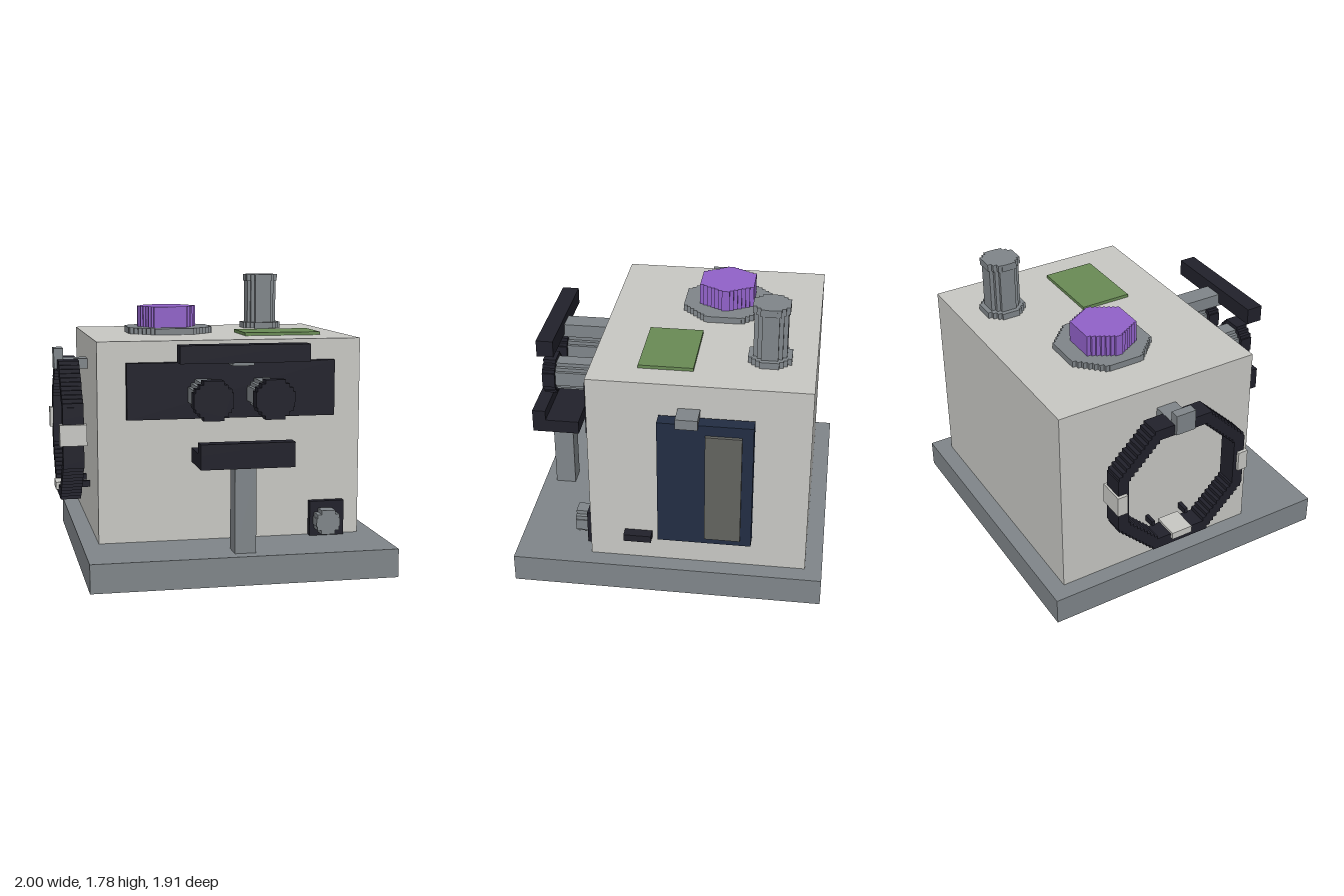
import * as THREE from 'three';

const colour = (name, color) => {
  const m = new THREE.MeshStandardMaterial({ color });
  m.name = name;
  return m;
};

export function createModel() {
  const model = new THREE.Group();
  model.name = 'instrumentCabinet';
  const steel = colour('steelGrey', 0x80868a);
  const shell = colour('paleShell', 0xc8c8c4);
  const dark = colour('darkPlastic', 0x21212b);
  const navy = colour('navyBlue', 0x222d43);
  const slate = colour('slateGlass', 0x62635f);
  const violet = colour('violet', 0x9162c9);
  const green = colour('green', 0x698b55);

  const add = (name, geometry, material) => {
    const mesh = new THREE.Mesh(geometry, material);
    mesh.name = name;
    model.add(mesh);
    return mesh;
  };

  // Box given by its extents on each axis
  const box = (name, material, x0, x1, y0, y1, z0, z1) =>
    add(name, new THREE.BoxGeometry(x1 - x0, y1 - y0, z1 - z0), material)
      .position.set((x0 + x1) / 2, (y0 + y1) / 2, (z0 + z1) / 2);

  // Half-width of a polygon at height v
  const octagon = r => v => Math.min(r, r * Math.SQRT2 - Math.abs(v));
  const hexagon = r => v => r * 2 / Math.sqrt(3) - Math.abs(v) / Math.sqrt(3);

  // Staircase-edged outline: one row of constant width per step
  const steppedPoints = (width, r) => {
    const rows = Math.max(4, Math.round(2 * r / 0.024));
    const h = 2 * r / rows, right = [], left = [];
    for (let i = 0; i < rows; i++) {
      const v = -r + i * h, w = width(v + h / 2);
      for (const y of [v, v + h]) {
        right.push(new THREE.Vector2(w, y));
        left.unshift(new THREE.Vector2(-w, y));
      }
    }
    // Drop repeated points along straight sides
    return [...right, ...left].filter((p, i, a) => i === 0 || p.distanceTo(a[i - 1]) > 1e-6);
  };

  // Stepped prism running from the origin along +z
  const prism = (width, r, depth, holeWidth, holeR) => {
    const shape = new THREE.Shape(steppedPoints(width, r));
    if (holeWidth) shape.holes.push(new THREE.Path(steppedPoints(holeWidth, holeR)));
    return new THREE.ExtrudeGeometry(shape, { depth, bevelEnabled: false });
  };
  const upright = (name, material, width, r, x, z, y0, y1) =>
    add(name, prism(width, r, y1 - y0).rotateX(-Math.PI / 2), material).position.set(x, y0, z);
  const forward = (name, material, r, x, y, z0, z1) =>
    add(name, prism(octagon(r), r, z1 - z0), material).position.set(x, y, z0);

  // Plinth and cabinet
  box('basePlate', steel, -0.89, 0.975, 0, 0.175, -0.955, 0.955);
  box('cabinet', shell, -0.785, 0.865, 0.175, 1.415, -0.85, 0.48);

  // Top: violet button on its collar, green pad, chimney
  upright('buttonCollar', steel, octagon(0.275), 0.275, -0.232, -0.247, 1.415, 1.455);
  upright('button', violet, hexagon(0.172), 0.172, -0.242, -0.245, 1.455, 1.59);
  box('greenPad', green, 0.195, 0.69, 1.415, 1.435, -0.135, 0.195);
  upright('chimneyFoot', steel, octagon(0.13), 0.13, 0.475, -0.57, 1.415, 1.455);
  upright('chimneyColumn', steel, octagon(0.1), 0.1, 0.475, -0.57, 1.455, 1.74);
  upright('chimneyCap', steel, octagon(0.11), 0.11, 0.475, -0.57, 1.74, 1.785);

  // Front: viewer panel with two eyepieces
  box('viewerPanel', dark, -0.61, 0.69, 0.94, 1.285, 0.48, 0.525);
  for (const x of [-0.145, 0.225]) {
    forward('eyepieceTube', steel, 0.092, x, 1.09, 0.525, 0.79);
    forward('eyepieceCup', dark, 0.118, x, 1.09, 0.79, 0.87);
  }

  // Brow rest on its arm, chin rest on its post
  box('browArm', steel, -0.02, 0.11, 1.287, 1.372, 0.48, 0.805);
  box('browRest', dark, -0.345, 0.435, 1.31, 1.416, 0.765, 0.87);
  box('chinPost', steel, -0.02, 0.11, 0.175, 0.7, 0.745, 0.875);
  box('chinTray', dark, -0.24, 0.325, 0.7, 0.785, 0.655, 0.955);
  box('chinLip', dark, -0.24, 0.325, 0.785, 0.85, 0.87, 0.955);

  // Control knob
  box('knobPlate', dark, 0.54, 0.76, 0.175, 0.395, 0.48, 0.525);
  forward('knob', steel, 0.076, 0.637, 0.275, 0.525, 0.61);

  // Left side: hanging case with window, clip and small catch
  box('sideCase', navy, 0.888, 0.975, 0.395, 1.222, -0.52, 0.045);
  box('caseWindow', slate, 0.975, 0.996, 0.44, 1.157, -0.455, -0.24);
  box('caseClip', steel, 0.865, 0.997, 1.2, 1.263, -0.197, -0.065);
  box('sideCatch', dark, 0.865, 0.93, 0.33, 0.375, 0.095, 0.265);

  // Right side: ring hung on a hook, with pale bands and two pegs
  add('ring', prism(octagon(0.444), 0.444, 0.13, octagon(0.372), 0.372)
    .rotateY(Math.PI / 2), dark).position.set(-0.98, 0.818, -0.135);
  box('hookArm', steel, -0.94, -0.785, 1.2, 1.264, -0.2, -0.07);
  box('hookTip', steel, -1, -0.94, 1.2, 1.332, -0.2, -0.07);
  box('rearBand', shell, -1, -0.832, 0.76, 0.892, -0.592, -0.525);
  box('frontBand', shell, -1, -0.832, 0.76, 0.892, 0.26, 0.324);
  box('lowerBand', shell, -1, -0.835, 0.415, 0.462, -0.205, -0.065);
  for (const z of [-0.265, -0.025])
    box('ringPeg', dark, -0.86, -0.785, 0.437, 0.477, z, z + 0.022);

  return model;
}
